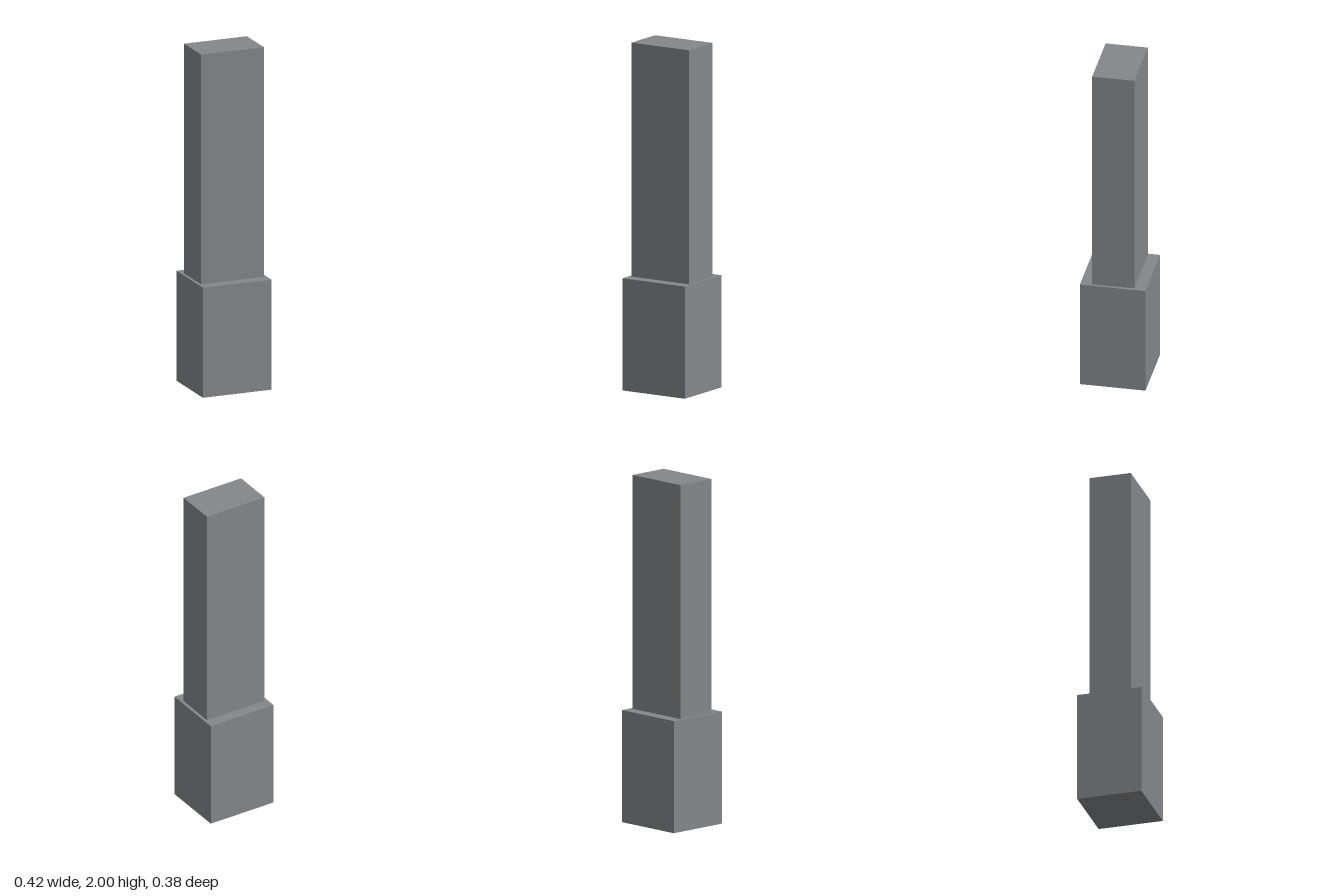
import * as THREE from 'three';

const material = new THREE.MeshStandardMaterial({ color: 0x83878a, flatShading: true });

// Box standing on the given height
function block(name, width, height, depth, bottom) {
  const mesh = new THREE.Mesh(new THREE.BoxGeometry(width, height, depth), material);
  mesh.name = name;
  mesh.position.y = bottom + height / 2;
  return mesh;
}

export function createModel() {
  const model = new THREE.Group();
  model.name = 'pillar';
  const baseHeight = 0.648;

  // Wide plinth with a slimmer rectangular shaft on top
  model.add(block('base', 0.422, baseHeight, 0.379, 0));
  model.add(block('shaft', 0.387, 2 - baseHeight, 0.244, baseHeight));
  return model;
}
